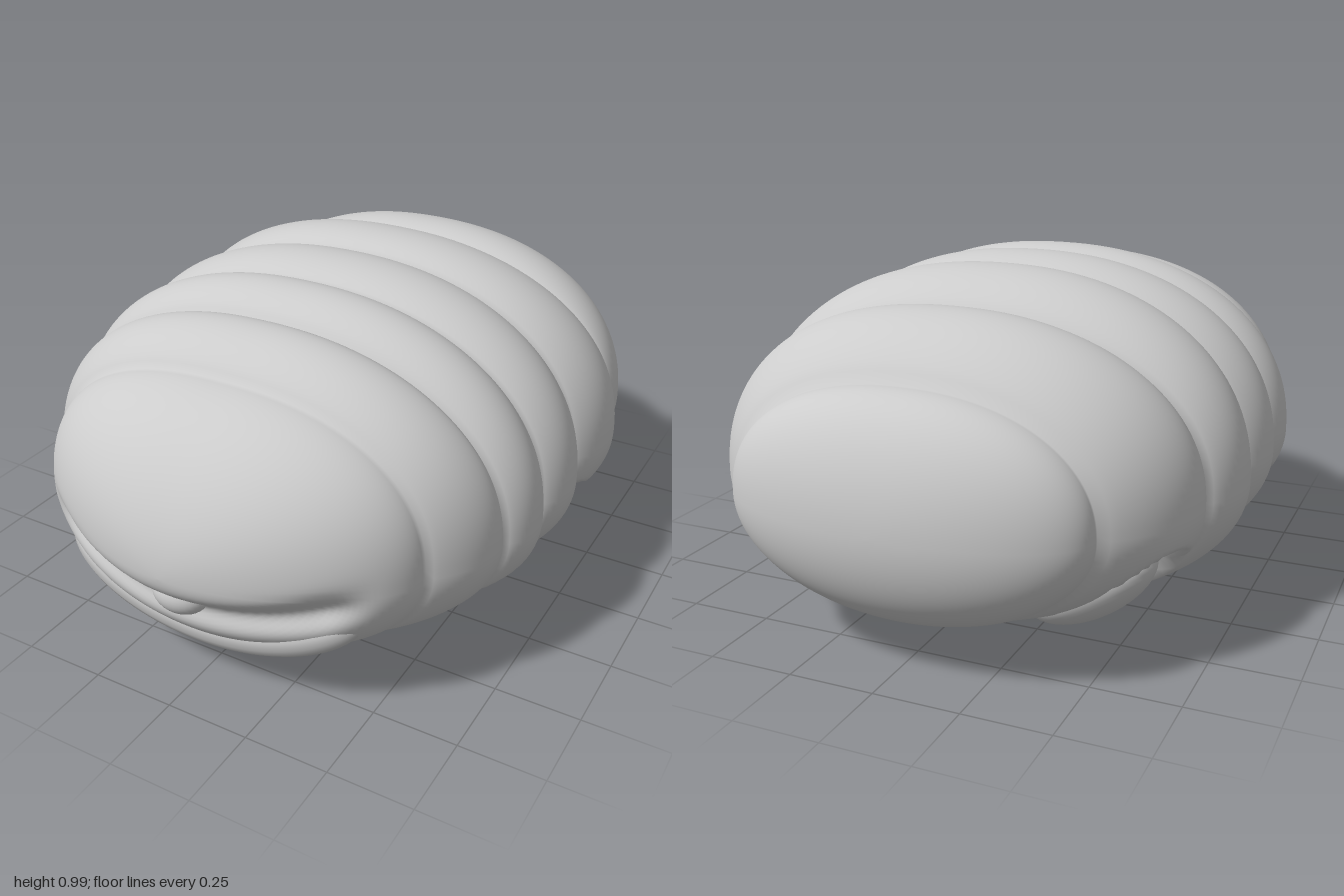
import * as THREE from 'three';

const MID = 0.43; // height of the widest line of the body

// Creases between body lobes, front to back: z, half width, top, bottom,
// then how far the lobe behind the crease bulges in width and in height
const CREASES = [
  [0.66, 0.60, 0.85, 0.09, 0.04, 0.055],
  [0.42, 0.71, 0.92, 0.05, 0.055, 0.055],
  [0.19, 0.715, 0.95, 0.025, 0.07, 0.05],
  [-0.085, 0.70, 0.95, 0.015, 0.08, 0.075],
  [-0.43, 0.70, 0.885, 0.045, 0.07, 0.09],
  [-0.79, 0.53, 0.77, 0.13, 0, 0],
];
const FIRST = CREASES[0], LAST = CREASES[CREASES.length - 1];

// Half width, top and bottom of the body at a given z
function section(z) {
  const shrink = (c, f) => [c[1] * f, MID + (c[2] - MID) * f, MID + (c[3] - MID) * f];
  if (z >= FIRST[0]) {
    const u = Math.min(1, (z - FIRST[0]) / (1 - FIRST[0]));
    return shrink(FIRST, Math.pow(1 - Math.pow(u, 1.7), 0.55));
  }
  if (z <= LAST[0]) {
    const u = Math.min(1, (LAST[0] - z) / (1 + LAST[0]));
    return shrink(LAST, Math.sqrt(1 - u * u));
  }
  const i = CREASES.findIndex((c, k) => z <= c[0] && z >= CREASES[k + 1][0]);
  const a = CREASES[i], b = CREASES[i + 1];
  const t = (a[0] - z) / (a[0] - b[0]);
  const bulge = Math.pow(Math.max(0, 4 * t * (1 - t)), 0.75);
  const mix = (k) => a[k] + (b[k] - a[k]) * t;
  return [mix(1) + a[4] * bulge, mix(2) + a[5] * bulge, mix(3) - 0.012 * bulge];
}

// Front surface of the head at (x, y) below the widest line, found by bisection
function headZ(x, y) {
  let lo = 0.5, hi = 1;
  for (let i = 0; i < 30; i++) {
    const z = (lo + hi) / 2, [w, , bottom] = section(z);
    if ((x / w) ** 2 + ((y - MID) / (MID - bottom)) ** 2 < 1) lo = z; else hi = z;
  }
  return lo;
}

// Stub legs lie along the lower flanks, sunk into hollows
const TILT = 0.53;
const LEGS = [
  { name: 'frontLeg', z: 0.25, y: 0.195, x: 0.475 },
  { name: 'middleLeg', z: -0.16, y: 0.19, x: 0.475 },
  { name: 'rearLeg', z: -0.555, y: 0.215, x: 0.43 },
];
const LEG_SIZE = [0.205, 0.1, 0.135];

// Push the skin in around each leg and under the brow
function sculpt(p) {
  const side = p.x < 0 ? -1 : 1, ct = Math.cos(TILT), st = Math.sin(TILT);
  if (p.y < MID) {
    for (const leg of LEGS) {
      const dx = Math.abs(p.x) - leg.x, dy = p.y - leg.y;
      const along = (dx * ct + dy * st - 0.05) / LEG_SIZE[0];
      const d = Math.hypot(along, (p.z - leg.z) / LEG_SIZE[2]);
      const push = 0.11 * (1 - THREE.MathUtils.smoothstep(d, 0.85, 1.2));
      p.x -= side * push * st;
      p.y += push * ct;
    }
  }
  if (p.z > 0.66) {
    const off = (p.y - 0.31 - 0.4 * p.x * p.x) / 0.05;
    const fade = 1 - THREE.MathUtils.smoothstep(Math.abs(p.x), 0.38, 0.55);
    p.z -= 0.055 * fade * Math.exp(-off * off);
  }
  return p;
}

function bodyGeometry() {
  const zs = [], SEG = 144, CAP = 36, LOBE = 20;
  for (let i = 0; i < CAP; i++) {
    zs.push(FIRST[0] + (1 - FIRST[0]) * Math.cos((i / CAP) * Math.PI / 2));
  }
  for (let k = 0; k < CREASES.length - 1; k++) {
    for (let i = 0; i < LOBE; i++) {
      zs.push(THREE.MathUtils.lerp(CREASES[k][0], CREASES[k + 1][0], i / LOBE));
    }
  }
  for (let i = 0; i <= CAP; i++) {
    zs.push(LAST[0] - (1 + LAST[0]) * Math.sin((i / CAP) * Math.PI / 2));
  }
  const pos = [], index = [];
  zs.forEach((z, i) => {
    const [w, top, bottom] = section(z);
    // upper half squarer than an ellipse, most of all on the head
    const square = 0.91 - 0.07 * THREE.MathUtils.smoothstep(z, 0.4, 0.7);
    for (let j = 0; j < SEG; j++) {
      const a = (j / SEG) * Math.PI * 2, c = Math.cos(a), s = Math.sin(a);
      const e = s > 0 ? square : 1;
      const x = Math.sign(c) * Math.pow(Math.abs(c), e) * w;
      const y = MID + Math.sign(s) * Math.pow(Math.abs(s), e) * (s > 0 ? top - MID : MID - bottom);
      const p = sculpt(new THREE.Vector3(x, y, z));
      pos.push(p.x, p.y, p.z);
      if (i < zs.length - 1) {
        const n = (j + 1) % SEG, A = i * SEG + j, B = i * SEG + n;
        index.push(A, A + SEG, B, B, A + SEG, B + SEG);
      }
    }
  });
  const g = new THREE.BufferGeometry();
  g.setAttribute('position', new THREE.Float32BufferAttribute(pos, 3));
  g.setIndex(index);
  g.computeVertexNormals();
  return g;
}

// Crescent lip: a tube along the head, tapered to rounded ends
function lipGeometry() {
  const pts = [];
  for (let i = -6; i <= 6; i++) {
    const x = i * 0.08, y = 0.195 + 0.6 * x * x;
    pts.push(new THREE.Vector3(x, y, headZ(x, y) - 0.065));
  }
  const curve = new THREE.CatmullRomCurve3(pts), N = 64, R = 16;
  const g = new THREE.TubeGeometry(curve, N, 0.072, R);
  const p = g.attributes.position, v = new THREE.Vector3();
  for (let i = 0; i <= N; i++) {
    const c = curve.getPointAt(i / N), s = (2 * i) / N - 1;
    const k = Math.pow(1 - Math.pow(Math.abs(s), 6), 0.5);
    for (let j = 0; j <= R; j++) {
      const id = i * (R + 1) + j;
      v.fromBufferAttribute(p, id).sub(c).multiplyScalar(k).add(c);
      p.setXYZ(id, v.x, v.y, v.z);
    }
  }
  return g;
}

export function createModel() {
  const skin = new THREE.MeshStandardMaterial({ color: 0xcccccc });
  skin.name = 'greySkin';
  const group = new THREE.Group();
  group.name = 'segmentedCreature';
  const add = (name, geometry) => {
    const mesh = new THREE.Mesh(geometry, skin);
    mesh.name = name;
    group.add(mesh);
    return mesh;
  };

  add('body', bodyGeometry());
  add('lip', lipGeometry());

  // Small snout over the mouth
  const snout = add('snout', new THREE.SphereGeometry(1, 32, 20));
  snout.scale.set(0.085, 0.06, 0.06);
  snout.position.set(0, 0.335, headZ(0, 0.335) - 0.07);

  // Three pairs of legs
  const ball = new THREE.SphereGeometry(1, 40, 24);
  for (const side of [1, -1]) {
    for (const leg of LEGS) {
      const mesh = add((side > 0 ? 'left ' : 'right ') + leg.name, ball);
      mesh.scale.set(...LEG_SIZE);
      mesh.rotation.z = side * TILT;
      mesh.position.set(side * leg.x, leg.y, leg.z);
    }
  }
  return group;
}
